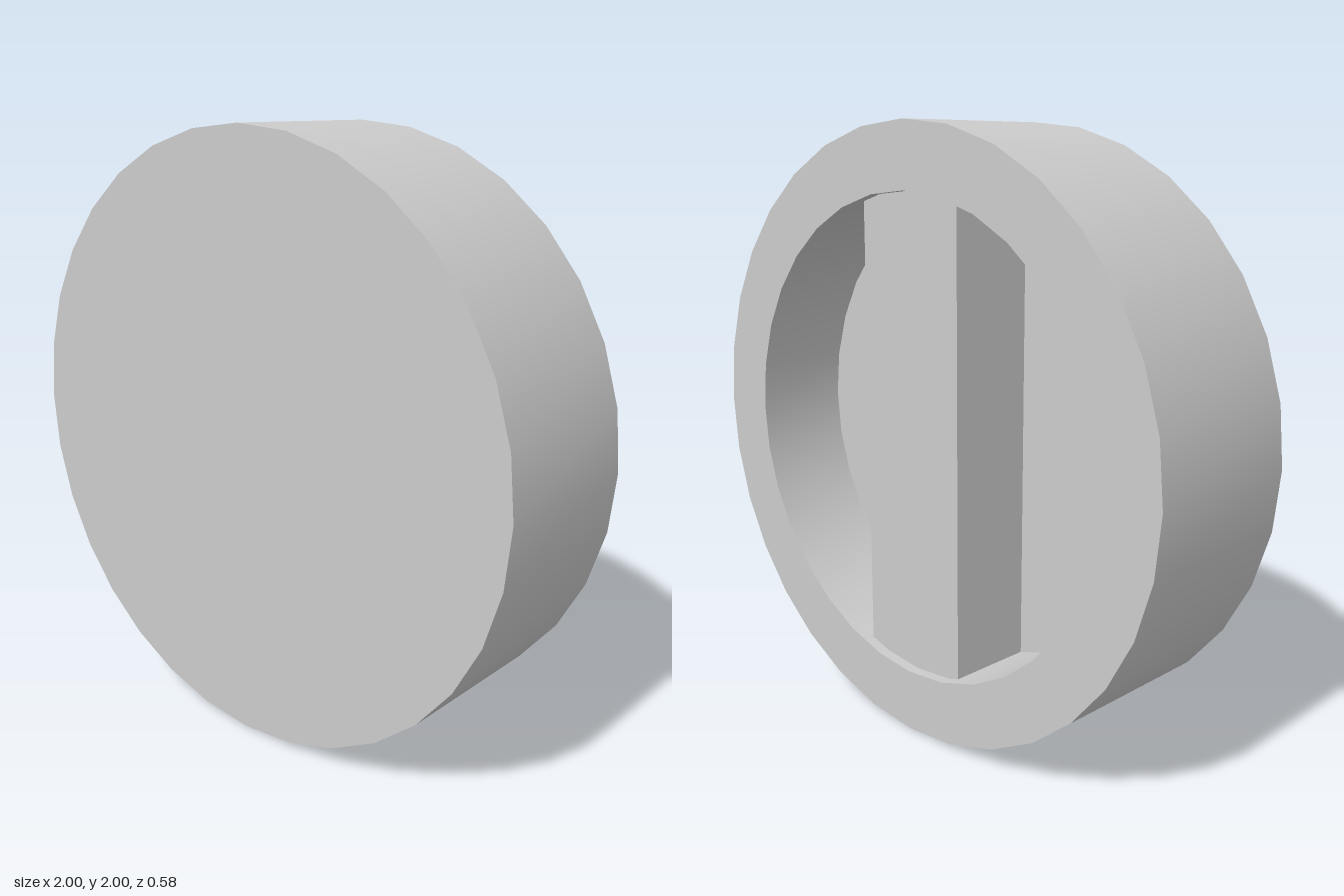
import * as THREE from 'three';
import { toCreasedNormals } from 'three/addons/utils/BufferGeometryUtils.js';

export function createModel() {
  const group = new THREE.Group();
  group.name = 'knobCap';
  const material = new THREE.MeshStandardMaterial({ color: 0xcccccc });

  const half = 0.29;      // half thickness
  const floorZ = 0.045;   // floor of the rear recess
  const innerR = 0.79;

  // Round body: solid front, rim and recess open to the back
  const profile = [
    [0, floorZ], [innerR, floorZ], [innerR, -half],
    [1, -half], [1, half], [0, half],
  ].map(([r, h]) => new THREE.Vector2(r, h));
  const bodyGeometry = new THREE.LatheGeometry(profile, 32).rotateX(Math.PI / 2);
  const body = new THREE.Mesh(toCreasedNormals(bodyGeometry, Math.PI / 6), material);
  body.name = 'body';
  body.position.y = 1;
  group.add(body);

  // Upright grip bar across the recess, its ends sunk into the rim
  const barBack = -0.2525, barFront = floorZ + 0.05;
  const bar = new THREE.Mesh(new THREE.BoxGeometry(0.43, 1.7, barFront - barBack), material);
  bar.name = 'gripBar';
  bar.position.set(0.02, 1, (barFront + barBack) / 2);
  group.add(bar);

  return group;
}
